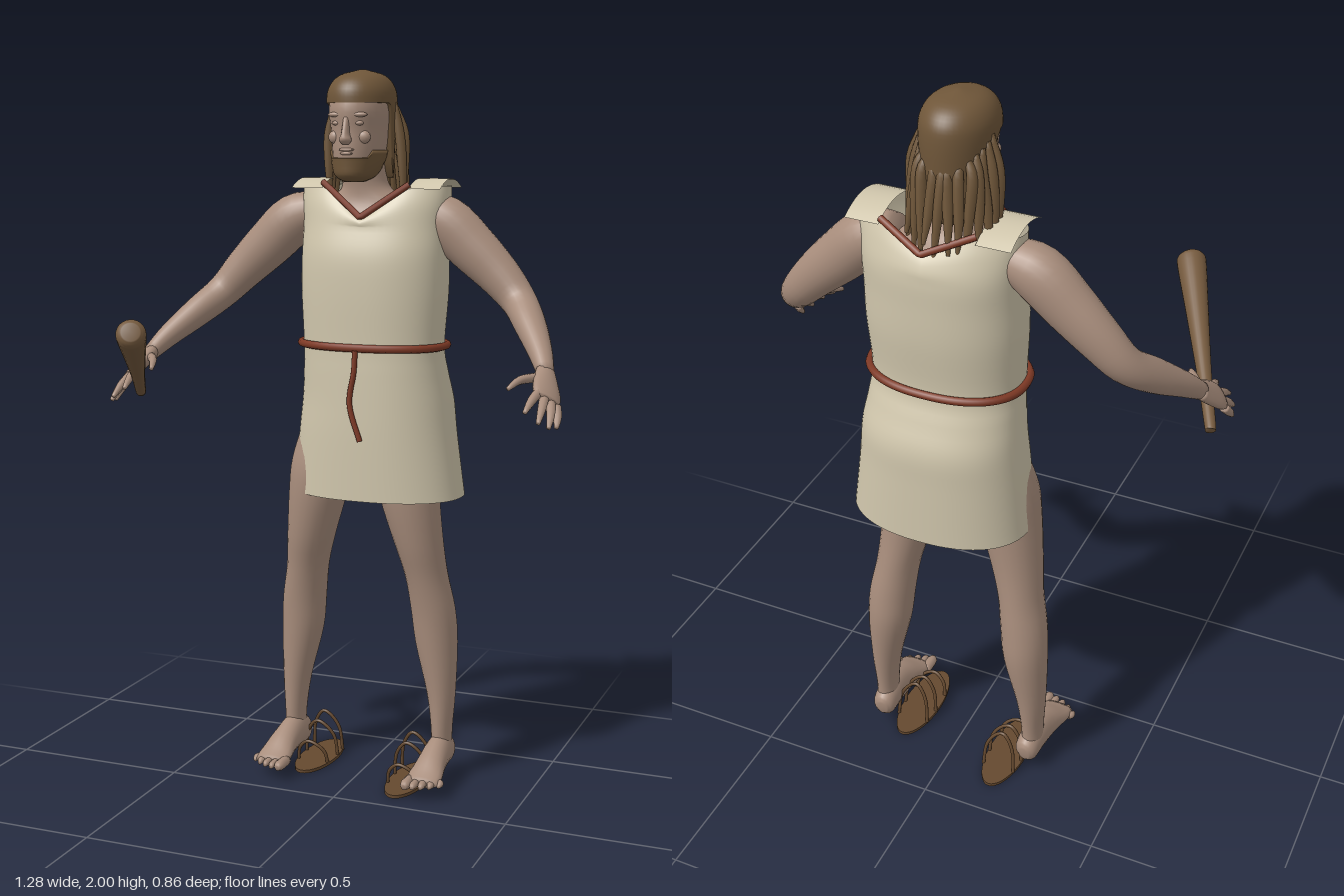
import * as THREE from 'three';

const mat = (name, color, side = THREE.FrontSide) => {
  const m = new THREE.MeshStandardMaterial({ color, side });
  m.name = name;
  return m;
};
const V = (a) => new THREE.Vector3(...a);

// Smooth skin over elliptical sections [x, y, z, radiusU, radiusV].
// flat: level rings; otherwise rings follow the path, with U near "ref".
function loft(rows, { flat = false, ref = [1, 0, 0], n = 24, steps = 4, open = false, power = 1, warp } = {}) {
  const path = new THREE.CatmullRomCurve3(rows.map((r) => V(r.slice(0, 3))), false, 'catmullrom');
  const size = new THREE.CatmullRomCurve3(rows.map((r) => V([r[3], r[4], 0])), false, 'catmullrom');
  const total = (rows.length - 1) * steps;
  const pos = [], idx = [];
  const bend = (c) => Math.sign(c) * Math.pow(Math.abs(c), power);
  for (let i = 0; i <= total; i++) {
    const c = path.getPoint(i / total), s = size.getPoint(i / total);
    const t = flat ? V([0, 1, 0]) : path.getTangent(i / total);
    const u = V(ref);
    u.addScaledVector(t, -u.dot(t)).normalize();
    const v = t.clone().cross(u);
    for (let j = 0; j < n; j++) {
      const a = (j / n) * Math.PI * 2;
      const p = c.clone().addScaledVector(u, s.x * bend(Math.cos(a))).addScaledVector(v, s.y * bend(Math.sin(a)));
      if (warp) warp(p);
      pos.push(p.x, p.y, p.z);
      if (i < total) {
        const k = i * n + j, k1 = i * n + ((j + 1) % n);
        idx.push(k, k1, k + n, k1, k1 + n, k + n);
      }
    }
  }
  if (!open) {
    const b = pos.length / 3, last = total * n;
    pos.push(...rows[0].slice(0, 3), ...rows[rows.length - 1].slice(0, 3));
    for (let j = 0; j < n; j++) {
      const j1 = (j + 1) % n;
      idx.push(b, j1, j, b + 1, last + j, last + j1);
    }
  }
  const g = new THREE.BufferGeometry();
  g.setAttribute('position', new THREE.Float32BufferAttribute(pos, 3));
  g.setIndex(idx);
  g.computeVertexNormals();
  return g;
}

const mirror = (rows, s) => rows.map(([x, ...rest]) => [x * s, ...rest]);
const cord = (pts, r, closed = false, tension = 0.5, segs = 48) =>
  new THREE.TubeGeometry(new THREE.CatmullRomCurve3(pts.map(V), closed, 'catmullrom', tension), segs, r, 8, closed);

export function createModel() {
  const root = new THREE.Group();
  const skin = mat('skin', 0xa88d7c);
  const cloth = mat('linen', 0xd0c6ac, THREE.DoubleSide);
  const hair = mat('hair', 0x6f5639, THREE.DoubleSide);
  const red = mat('redCord', 0x7e3925);
  const wood = mat('wood', 0x755a3e);
  const leather = mat('leather', 0x65492f);
  const add = (name, geometry, material, parent = root) => {
    const m = new THREE.Mesh(geometry, material);
    m.name = name;
    parent.add(m);
    return m;
  };
  const ball = (name, x, y, z, a, b, c, material) => {
    const m = add(name, new THREE.SphereGeometry(1, 16, 12), material);
    m.position.set(x, y, z);
    m.scale.set(a, b, c);
  };

  // Tunic, with the collar edge pulled down to a V front and back
  const collar = (p) => {
    if (p.y <= 1.58) return;
    const k = Math.min(1, Math.abs(p.x - 0.025) / 0.125), low = p.z > -0.25 ? 1.605 : 1.645;
    const drop = (1.69 - (low + (1.69 - low) * k)) / 0.11, f = (p.y - 1.58) / 0.11;
    p.y -= f * drop * 0.11;
    p.z = -0.26 + (p.z + 0.26) * (1 + 0.42 * f * drop);
  };
  add('tunic', loft([
    [0.035, 0.83, -0.265, 0.245, 0.167], [0.03, 1.0, -0.265, 0.226, 0.167], [0.03, 1.1, -0.265, 0.215, 0.165],
    [0.027, 1.18, -0.252, 0.205, 0.15], [0.025, 1.255, -0.242, 0.2, 0.138], [0.025, 1.4, -0.247, 0.208, 0.146],
    [0.025, 1.5, -0.25, 0.208, 0.145], [0.025, 1.58, -0.26, 0.208, 0.134], [0.025, 1.64, -0.26, 0.212, 0.115],
    [0.025, 1.69, -0.26, 0.214, 0.09],
  ], { flat: true, n: 64, steps: 5, open: true, power: 0.88, warp: collar }), cloth);

  // Shoulder straps
  for (const x of [-0.145, 0.195]) {
    const g = new THREE.PlaneGeometry(0.09, 0.19, 2, 10).rotateX(-Math.PI / 2);
    const p = g.attributes.position;
    for (let i = 0; i < p.count; i++) p.setY(i, 0.018 - 3 * p.getZ(i) ** 2);
    g.translate(x, 1.692, -0.258);
    g.computeVertexNormals();
    add('shoulderStrap', g, cloth);
  }

  // Collar trim, belt and hanging cord
  add('frontCollarTrim', cord([[-0.1, 1.7, -0.172], [0.025, 1.607, -0.128], [0.15, 1.695, -0.172]], 0.009, false, 0), red);
  add('backCollarTrim', cord([[-0.1, 1.7, -0.342], [0.025, 1.647, -0.386], [0.15, 1.695, -0.342]], 0.009, false, 0), red);
  const ring = [];
  for (let i = 0; i < 24; i++) {
    const a = (i / 24) * Math.PI * 2, e = (c) => Math.sign(c) * Math.abs(c) ** 0.88;
    ring.push([0.025 + 0.207 * e(Math.cos(a)), 1.255, -0.242 + 0.142 * e(Math.sin(a))]);
  }
  add('belt', cord(ring, 0.011, true, 0.5, 96), red);
  add('beltCord', cord([[0.025, 1.25, -0.094], [0.022, 1.19, -0.093], [0.01, 1.1, -0.093], [0.04, 1.0, -0.093]], 0.008), red);

  // Upper chest, neck and head
  add('chestAndNeck', loft([
    [0, 1.48, -0.25, 0.15, 0.1], [0, 1.58, -0.255, 0.17, 0.1], [0, 1.64, -0.255, 0.13, 0.078],
    [0, 1.68, -0.245, 0.072, 0.065], [-0.004, 1.73, -0.235, 0.06, 0.062], [-0.005, 1.8, -0.23, 0.06, 0.062],
  ], { flat: true }), skin);
  const face = [
    [-0.005, 1.705, -0.165, 0.022, 0.03], [-0.005, 1.72, -0.175, 0.048, 0.066], [-0.005, 1.75, -0.19, 0.062, 0.086],
    [-0.005, 1.79, -0.205, 0.07, 0.104], [-0.005, 1.84, -0.214, 0.076, 0.112], [-0.005, 1.9, -0.215, 0.082, 0.117],
    [-0.005, 1.96, -0.22, 0.066, 0.095], [-0.005, 1.985, -0.22, 0.03, 0.04],
  ];
  add('head', loft(face, { flat: true, n: 32 }), skin);
  add('nose', loft([
    [-0.005, 1.8, -0.1, 0.009, 0.008], [-0.005, 1.812, -0.098, 0.017, 0.019], [-0.005, 1.83, -0.1, 0.011, 0.018],
    [-0.005, 1.872, -0.106, 0.008, 0.009],
  ], { flat: true, n: 12 }), skin);
  for (const s of [1, -1]) {
    ball('eye', -0.005 + s * 0.031, 1.857, -0.116, 0.014, 0.007, 0.01, skin);
    ball('browRidge', -0.005 + s * 0.032, 1.879, -0.113, 0.025, 0.007, 0.011, skin);
    ball('cheek', -0.005 + s * 0.04, 1.82, -0.128, 0.02, 0.018, 0.015, skin);
  }
  ball('upperLip', -0.005, 1.787, -0.105, 0.022, 0.005, 0.009, skin);
  ball('lowerLip', -0.005, 1.777, -0.105, 0.018, 0.005, 0.009, skin);
  add('beard', loft(face.slice(0, 4).map(([x, y, z, a, b]) => [x, y - 0.004, z, a + 0.005, b + 0.005]),
    { flat: true, n: 32, warp: (p) => { p.y = Math.min(p.y, p.z > -0.14 ? 1.764 : 1.79); } }), hair);

  // Hair cap: fringe cut above the brow, longer at the back
  add('hairCap', loft([
    [-0.005, 1.71, -0.24, 0.078, 0.095], [-0.005, 1.82, -0.226, 0.086, 0.116], [-0.005, 1.91, -0.222, 0.093, 0.122],
    [-0.005, 1.955, -0.222, 0.085, 0.112], [-0.005, 1.985, -0.224, 0.058, 0.076], [-0.005, 2.0, -0.225, 0.008, 0.01],
  ], {
    flat: true, n: 48,
    warp: (p) => { p.y = Math.max(p.y, 1.91 - 0.2 * THREE.MathUtils.smoothstep(-p.z, 0.2, 0.26)); },
  }), hair);

  // Hanging locks around the sides and back
  for (let i = 0; i < 15; i++) {
    const a = -0.05 + (i / 14) * (Math.PI + 0.1), c = Math.cos(a), s = Math.sin(a);
    const end = 1.64 + 0.025 * Math.sin(i * 2.4), sway = 0.008 * Math.sin(i * 1.7);
    add('hairLock', loft([
      [-0.005 + 0.086 * c, 1.91 - 0.05 * s, -0.245 - 0.075 * s, 0.008, 0.008],
      [-0.005 + 0.1 * c + sway, 1.83, -0.25 - 0.085 * s, 0.014, 0.013],
      [-0.005 + 0.108 * c, 1.74, -0.252 - 0.098 * s, 0.013, 0.013],
      [-0.005 + 0.112 * c - sway, end, -0.252 - 0.118 * s, 0.005, 0.005],
    ], { n: 8 }), hair);
  }

  for (const s of [1, -1]) {
    const side = s > 0 ? 'left' : 'right';
    const part = (name, rows, opts) => add(side + name, loft(mirror(rows, s), opts), skin);

    // Arm and hand
    part('Arm', [
      [0.14, 1.62, -0.265, 0.05, 0.05], [0.22, 1.595, -0.265, 0.066, 0.07], [0.3, 1.525, -0.265, 0.06, 0.068],
      [0.38, 1.45, -0.262, 0.052, 0.058], [0.44, 1.385, -0.245, 0.046, 0.048], [0.49, 1.33, -0.18, 0.046, 0.042],
      [0.54, 1.27, -0.1, 0.034, 0.032], [0.572, 1.222, -0.04, 0.024, 0.022],
    ], { ref: [0, 0, 1] });
    part('Palm', [
      [0.568, 1.23, -0.05, 0.025, 0.021], [0.58, 1.203, -0.015, 0.037, 0.02], [0.592, 1.178, 0.02, 0.043, 0.017],
      [0.6, 1.164, 0.042, 0.038, 0.012],
    ], { ref: [0.72 * s, -0.62, -0.3], n: 16 });
    const fingers = [
      ['Thumb', [0.558, 1.215, -0.015], [0.525, 1.212, 0.035], [0.507, 1.195, 0.078]],
      ['IndexFinger', [0.576, 1.185, 0.04], [0.57, 1.168, 0.085], [0.565, 1.145, 0.127]],
      ['MiddleFinger', [0.591, 1.171, 0.04], [0.597, 1.148, 0.085], [0.6, 1.12, 0.127]],
      ['RingFinger', [0.606, 1.158, 0.032], [0.616, 1.132, 0.068], [0.62, 1.105, 0.1]],
      ['LittleFinger', [0.618, 1.147, 0.02], [0.627, 1.122, 0.042], [0.63, 1.1, 0.062]],
    ];
    for (const [name, a, b, c] of fingers)
      part(name, [[...a, 0.013, 0.013], [...b, 0.011, 0.011], [...c, 0.006, 0.006]], { n: 10 });

    // Leg, foot and toes
    part('Leg', [
      [0.228, 0.07, -0.272, 0.03, 0.042], [0.228, 0.14, -0.27, 0.029, 0.044], [0.224, 0.25, -0.274, 0.04, 0.052],
      [0.207, 0.4, -0.277, 0.06, 0.067], [0.198, 0.5, -0.27, 0.063, 0.07], [0.182, 0.6, -0.256, 0.06, 0.073],
      [0.163, 0.7, -0.24, 0.069, 0.081], [0.138, 0.83, -0.23, 0.084, 0.09], [0.128, 0.92, -0.232, 0.085, 0.09],
      [0.11, 1.02, -0.245, 0.076, 0.08], [0.1, 1.12, -0.25, 0.05, 0.05],
    ], { flat: true });
    part('Foot', [
      [0.224, 0.07, -0.326, 0.015, 0.022], [0.225, 0.073, -0.308, 0.032, 0.042], [0.227, 0.082, -0.25, 0.036, 0.052],
      [0.229, 0.07, -0.18, 0.041, 0.04], [0.23, 0.052, -0.12, 0.049, 0.024], [0.23, 0.044, -0.085, 0.046, 0.014],
    ], { n: 20 });
    for (let i = 0; i < 5; i++) {
      const x = 0.192 + i * 0.02, r = i ? 0.0105 : 0.015, tip = -0.046 - 0.0025 * i * i;
      part('Toe', [
        [x, 0.044, -0.11, r, r], [x + 0.002 * i, 0.044, tip - 0.015, r, r], [x + 0.002 * i, 0.04, tip, r * 0.5, r * 0.5],
      ], { n: 10 });
    }

    // Loose sandal with three arched straps
    const sandal = new THREE.Group();
    sandal.name = side + 'Sandal';
    sandal.position.set(0.155 * s, 0, s > 0 ? -0.195 : -0.275);
    const sole = add('sole', new THREE.CylinderGeometry(1, 1, 0.009, 40), leather, sandal);
    sole.scale.set(0.054, 1, 0.14);
    sole.position.y = 0.0045;
    [[-0.07, 0.125, 0.046], [-0.02, 0.11, 0.05], [0.05, 0.07, 0.046]].forEach(([z, h, w]) =>
      add('strap', cord([
        [-w, 0.006, z], [-w * 0.85, h * 0.65, z + 0.008], [-w * 0.3, h, z + 0.015],
        [w * 0.3, h * 0.93, z + 0.015], [w * 0.85, h * 0.6, z + 0.008], [w, 0.006, z],
      ], 0.005), leather, sandal));
    root.add(sandal);
  }

  // Club held in the right hand
  add('club', loft([
    [-0.605, 1.11, -0.04, 0.014, 0.014], [-0.597, 1.119, -0.023, 0.015, 0.015], [-0.54, 1.177, 0.093, 0.019, 0.019],
    [-0.46, 1.259, 0.257, 0.03, 0.03], [-0.4, 1.32, 0.38, 0.039, 0.039], [-0.389, 1.331, 0.403, 0.036, 0.036],
    [-0.384, 1.336, 0.413, 0.024, 0.024],
  ]), wood);

  return root;
}
